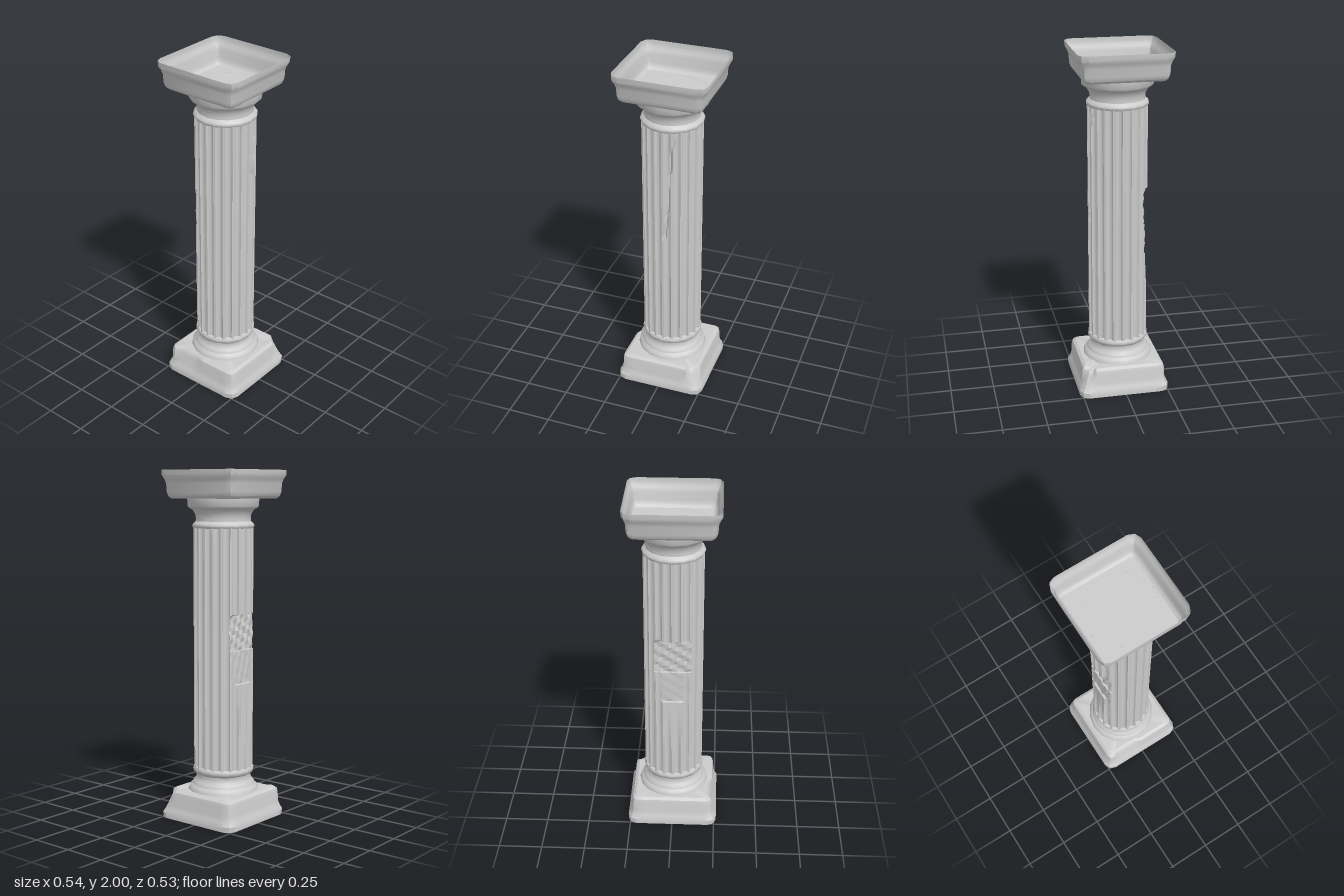
import * as THREE from 'three';
import { toCreasedNormals } from 'three/addons/utils/BufferGeometryUtils.js';

const material = new THREE.MeshStandardMaterial({ color: 0xcccccc, side: THREE.DoubleSide });

function addMesh(group, name, geometry, crease) {
  const mesh = new THREE.Mesh(toCreasedNormals(geometry, crease), material);
  mesh.name = name;
  group.add(mesh);
  return mesh;
}

// Skin a stack of closed rings (each an array of Vector3, running front -> +x -> back).
function loft(rings) {
  const n = rings[0].length;
  const index = [];
  for (let i = 0; i < rings.length - 1; i++) {
    for (let j = 0; j < n; j++) {
      const k = (j + 1) % n;
      const a = i * n + j, b = i * n + k, c = b + n, d = a + n;
      index.push(a, b, c, a, c, d);
    }
  }
  const geometry = new THREE.BufferGeometry().setFromPoints(rings.flat());
  geometry.setIndex(index);
  return geometry;
}

// Square ring of half width h with a three-point bevel at each corner.
function squareRing(h, y, bevel, steps) {
  const c = Math.min(bevel, h * 0.5), k = c * 0.3;
  const side = [];
  for (let i = 0; i < steps; i++) side.push([-(h - c) + (2 * (h - c) * i) / steps, h]);
  side.push([h - c, h], [h - k, h - k]);
  const ring = [];
  for (let q = 0; q < 4; q++) {
    for (let [x, z] of side) {
      for (let r = 0; r < q; r++) [x, z] = [z, -x];
      ring.push(new THREE.Vector3(x, y, z));
    }
  }
  return ring;
}

// Turned mouldings, sixteen sided.
function turned(points) {
  return new THREE.LatheGeometry(points.map(([r, y]) => new THREE.Vector2(r, y)), 16);
}

// Worn face on the -x side: the furthest the stone reaches at height y.
function brokenLimit(y, z) {
  const rough = 0.005 * Math.sin(y * 95 + z * 60) + 0.004 * Math.sin(z * 130 - y * 40);
  if (y > 1.195) return 1;
  if (y > 0.99) return 0.129 + rough;
  if (y > 0.8) return 0.139 + rough * 0.5;
  return THREE.MathUtils.mapLinear(y, 0.3, 0.8, 0.172, 0.15);
}

function fluted() {
  const flutes = 20, R = 0.17, depth = 0.017, arc = 7;
  const heights = [];
  for (let i = 0; i <= 60; i++) heights.push(0.3 + (1.38 * i) / 60);
  heights.push(0.798, 0.802, 0.988, 0.992, 1.193, 1.197);
  heights.sort((a, b) => a - b);
  return heights.map((y) => {
    const ring = [];
    for (let f = 0; f < flutes; f++) {
      for (let i = 0; i <= arc; i++) {
        const u = Math.cos((Math.PI * i) / arc);
        const angle = ((f + 0.5 - 0.39 * u) / flutes) * Math.PI * 2;
        let r = R - depth * Math.sqrt(Math.max(0, 1 - u * u));
        let x = Math.sin(angle) * r;
        let z = Math.cos(angle) * r;
        // Thin slanting crack on the +x side
        if (x > 0 && y > 1.0 && y < 1.64) {
          const line = -0.01 - 0.07 * (y - 1.0) + 0.003 * Math.sin(y * 50);
          if (Math.abs(z - line) < 0.0055) x -= 0.012;
        }
        // Broken -x side
        x = Math.max(x, -brokenLimit(y, z));
        ring.push(new THREE.Vector3(x, y, z));
      }
    }
    return ring;
  });
}

export function createModel() {
  const group = new THREE.Group();
  group.name = 'column';

  // Hollow square base, open underneath
  const baseProfile = [
    [0.262, 0, 0.05], [0.263, 0.03, 0.05], [0.252, 0.05, 0.045], [0.243, 0.08, 0.04],
    [0.24, 0.135, 0.035], [0.234, 0.155, 0.03], [0.217, 0.167, 0.02], [0.001, 0.167, 0],
  ];
  const baseRings = baseProfile.map(([h, y, bevel]) => squareRing(h, y, bevel, 12));
  for (const p of baseRings.flat()) {
    if (p.y < 0.06 || Math.abs(p.x) < 0.01) continue;
    const lift = THREE.MathUtils.smoothstep(p.y, 0.05, 0.16);
    // Chipped front edge
    if (p.z > 0.2 && p.x < -0.02 && p.x > -0.19) p.z -= 0.016 * lift;
    // Chipped back corner
    if (p.x > 0.18 && p.z < -0.18) {
      p.x -= 0.02 * lift;
      p.z += 0.02 * lift;
      p.y -= 0.012 * lift;
    }
  }
  addMesh(group, 'base', loft(baseRings), 0.6).position.x = 0.004;

  // Rounded mouldings under the shaft
  addMesh(group, 'lowerMouldings', turned([
    [0.205, 0.163], [0.201, 0.178], [0.195, 0.19], [0.182, 0.2], [0.18, 0.21], [0.168, 0.222],
    [0.159, 0.237], [0.157, 0.25], [0.158, 0.262], [0.168, 0.268], [0.176, 0.28],
    [0.177, 0.292], [0.171, 0.303], [0.14, 0.306],
  ]), 0.7);

  // Fluted shaft with broken side and crack
  addMesh(group, 'shaft', loft(fluted()), 0.6);

  // Rounded mouldings above the shaft
  addMesh(group, 'upperMouldings', turned([
    [0.14, 1.674], [0.171, 1.677], [0.177, 1.688], [0.175, 1.698], [0.164, 1.708],
    [0.157, 1.715], [0.156, 1.73], [0.158, 1.75], [0.166, 1.765], [0.172, 1.775],
    [0.18, 1.783], [0.195, 1.79], [0.202, 1.8], [0.204, 1.835], [0.205, 1.843],
  ]), 0.7);

  // Hollow square capital, open on top
  const capitalProfile = [
    [0.001, 1.842, 0], [0.217, 1.842, 0.02], [0.232, 1.855, 0.03], [0.24, 1.88, 0.035],
    [0.243, 1.925, 0.04], [0.252, 1.95, 0.045], [0.263, 1.97, 0.05], [0.264, 2.0, 0.05],
  ];
  addMesh(group, 'capital', loft(capitalProfile.map(([h, y, b]) => squareRing(h, y, b, 1))), 0.6)
    .position.x = -0.007;

  return group;
}
